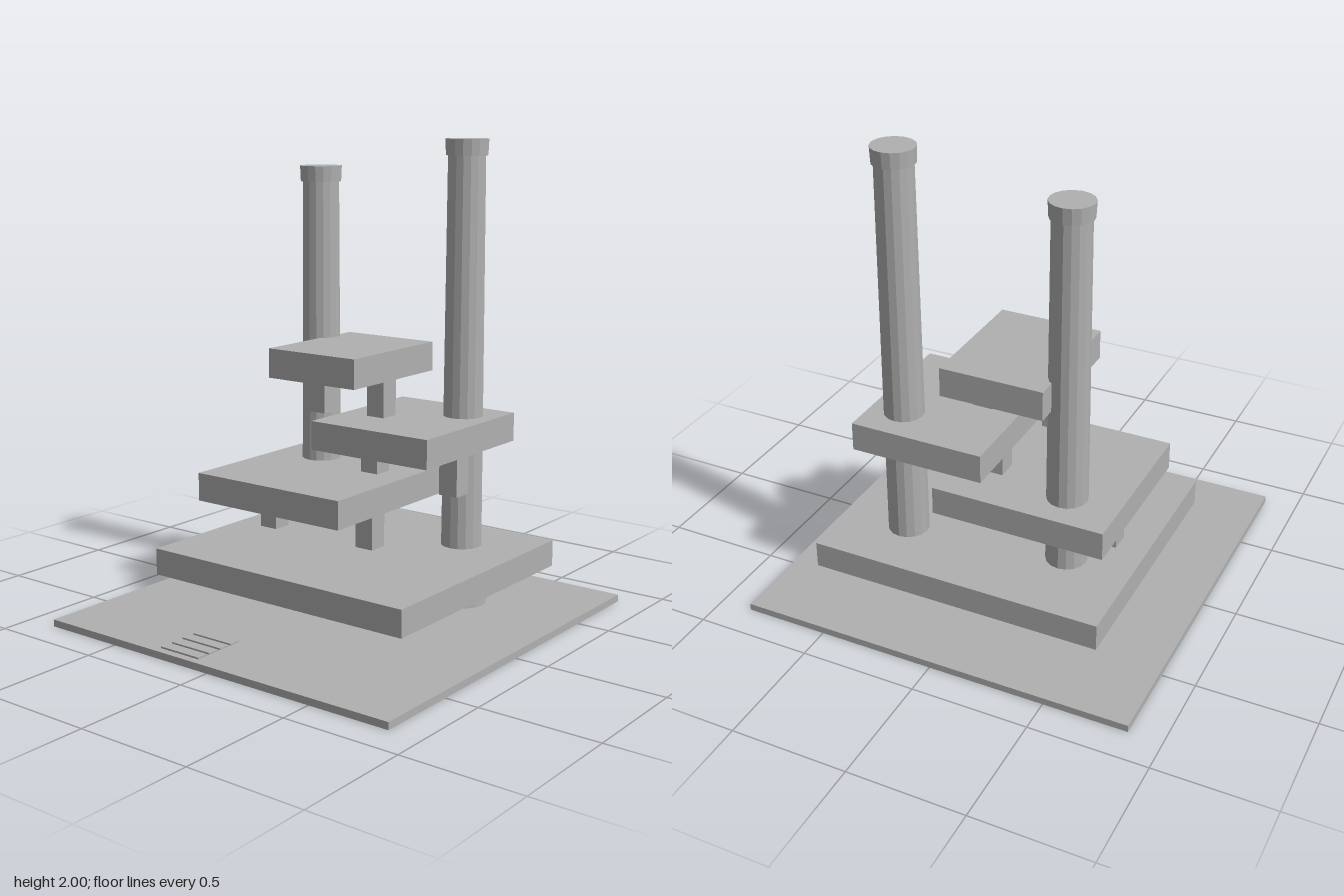
import * as THREE from 'three';

export function createModel() {
  const group = new THREE.Group();
  const concrete = new THREE.MeshStandardMaterial({ color: 0xb0b0b0, flatShading: true });
  concrete.name = 'concrete grey';

  const add = (name, geometry, x, y, z, parent = group) => {
    const mesh = new THREE.Mesh(geometry, concrete);
    mesh.name = name;
    mesh.position.set(x, y, z);
    parent.add(mesh);
    return mesh;
  };

  // box given by its limits on each axis
  const block = (name, [x0, x1], [y0, y1], [z0, z1], parent) =>
    add(name, new THREE.BoxGeometry(x1 - x0, y1 - y0, z1 - z0),
      (x0 + x1) / 2, (y0 + y1) / 2, (z0 + z1) / 2, parent);

  // ground plate
  block('groundPlate', [-0.858, 0.858], [0, 0.03], [-0.858, 0.858]);

  // stacked terraces, the upper three each standing on a pair of short posts
  const terraces = [
    { name: 'podium', x: [-0.637, 0.637], y: [0.17, 0.284], z: [-0.66, 0.47] },
    { name: 'lowerTerrace', x: [-0.577, 0.177], y: [0.46, 0.582], z: [-0.476, 0.264], posts: true },
    { name: 'middleTerrace', x: [-0.085, 0.494], y: [0.725, 0.847], z: [-0.552, 0.103], posts: true },
    { name: 'upperTerrace', x: [-0.302, 0.145], y: [1.007, 1.132], z: [-0.445, 0.116], posts: true },
  ];
  for (const t of terraces) {
    const part = new THREE.Group();
    part.name = t.name;
    group.add(part);
    block(t.name + 'Slab', t.x, t.y, t.z, part);
    if (!t.posts) continue;
    const cx = (t.x[0] + t.x[1]) / 2, cz = (t.z[0] + t.z[1]) / 2;
    const reach = 0.35 * (t.x[1] - t.x[0]);
    for (const side of [-1, 1]) {
      add('post', new THREE.BoxGeometry(0.087, 0.18, 0.087),
        cx + side * reach, t.y[0] - 0.09, cz, part);
    }
  }

  // tapered towers with a flared foot and a cap
  const tower = (name, x, z, height) => {
    const part = new THREE.Group();
    part.name = name;
    part.position.set(x, 0, z);
    group.add(part);
    const ring = (label, rTop, rBottom, y0, y1) =>
      add(label, new THREE.CylinderGeometry(rTop, rBottom, y1 - y0, 16), 0, (y0 + y1) / 2, 0, part);
    ring('foot', 0.101, 0.113, 0.03, 0.23);
    ring('shaft', 0.079, 0.088, 0.2, height - 0.06);
    ring('cap', 0.091, 0.088, height - 0.067, height);
  };
  tower('rightTower', -0.347, -0.297, 1.875);
  tower('leftTower', 0.349, -0.379, 2);

  // low entrance steps on the plate
  for (let i = 0; i < 4; i++) {
    const z = 0.587 + i * 0.0625;
    block('entranceStep', [-0.273, -0.072], [0.025, 0.037], [z, z + 0.05]);
  }

  return group;
}
